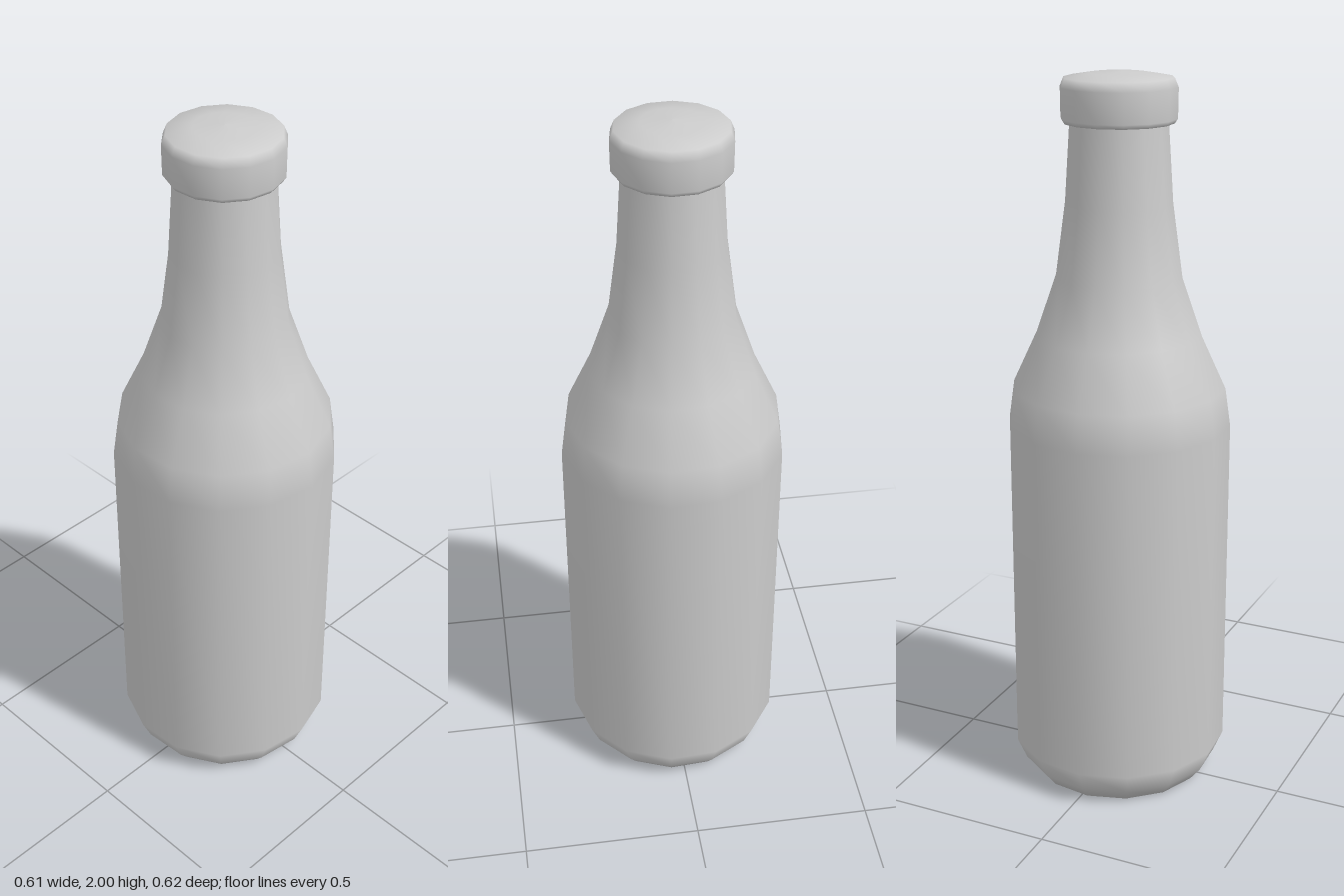
import * as THREE from 'three';

const SIDES = 14;
const PHASE = 0.065; // slight turn of the 14-sided section

// Smooth surface of revolution from [radius, height] pairs, bottom to top
function turned(name, profile) {
  const points = profile.map(([r, y]) => new THREE.Vector2(r, y));
  const mesh = new THREE.Mesh(
    new THREE.LatheGeometry(points, SIDES, PHASE),
    new THREE.MeshStandardMaterial({ color: 0xcccccc, side: THREE.DoubleSide })
  );
  mesh.name = name;
  return mesh;
}

export function createModel() {
  const group = new THREE.Group();
  group.name = 'bottle';

  // Base, straight wall, sloping shoulder and tapering neck
  group.add(turned('bottleBody', [
    [0, 0], [0.25, 0], [0.282, 0.04], [0.308, 0.1],
    [0.309, 1.05], [0.294, 1.155], [0.227, 1.3], [0.172, 1.46],
    [0.145, 1.66], [0.131, 1.88],
  ]));

  // Cap with softened rims and a shallow dome
  group.add(turned('cap', [
    [0.125, 1.868], [0.147, 1.868], [0.155, 1.88], [0.156, 1.96],
    [0.146, 1.984], [0.08, 1.995], [0, 2],
  ]));

  return group;
}
